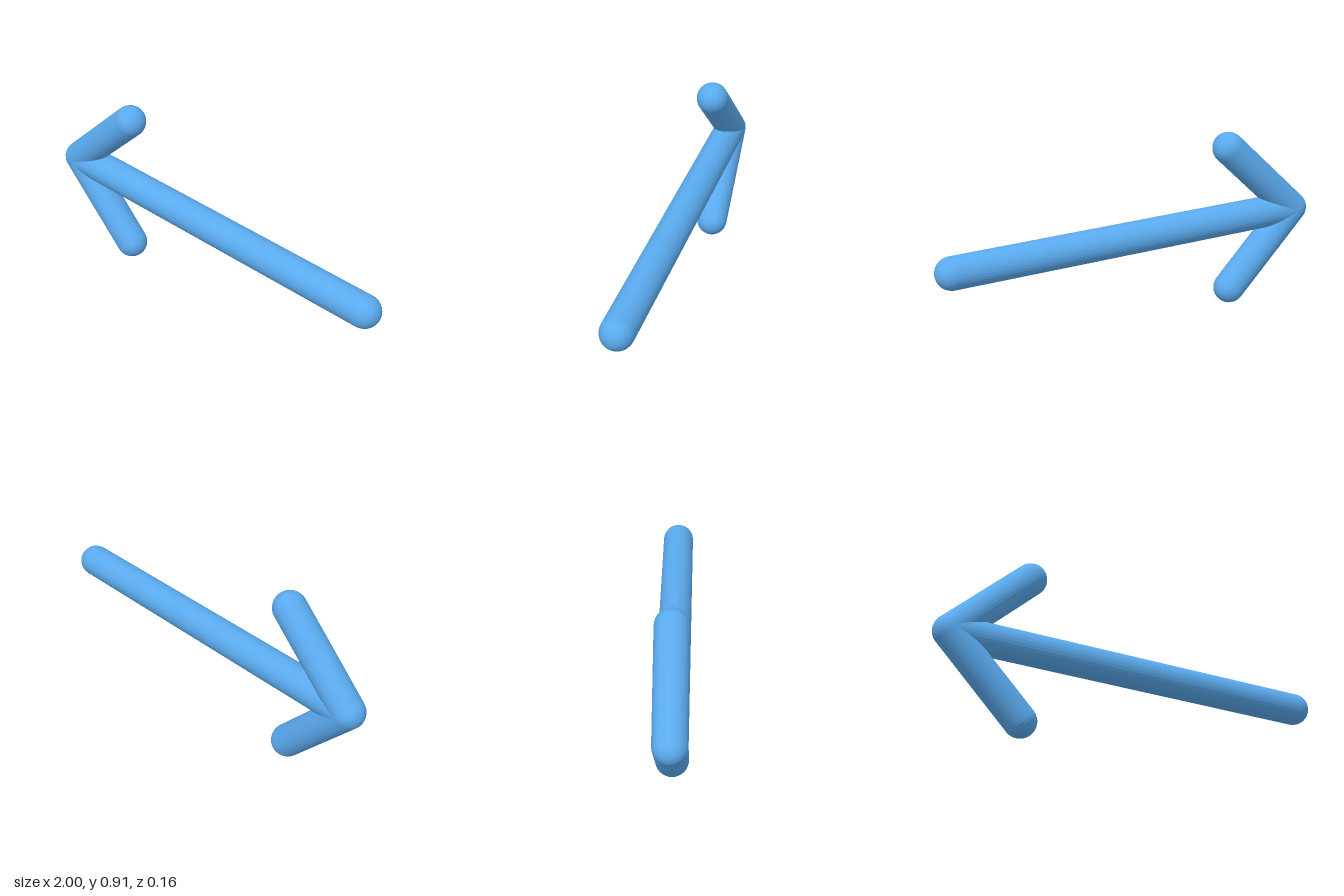
import * as THREE from 'three';

const RADIUS = 0.08;

export function createModel() {
  const group = new THREE.Group();
  group.name = 'arrow';
  const material = new THREE.MeshStandardMaterial({ color: 0x5aaaee, flatShading: true });

  // Round-ended bar between two centre points
  function addBar(name, from, to) {
    const dir = to.clone().sub(from);
    const mesh = new THREE.Mesh(new THREE.CapsuleGeometry(RADIUS, dir.length(), 8, 32), material);
    mesh.name = name;
    mesh.position.copy(from).add(to).multiplyScalar(0.5);
    mesh.quaternion.setFromUnitVectors(new THREE.Vector3(0, 1, 0), dir.normalize());
    group.add(mesh);
  }

  // All three bars meet at the arrow tip
  const tip = new THREE.Vector3(-0.92, 0.467, 0);
  addBar('shaft', tip, new THREE.Vector3(0.92, 0.405, 0));
  addBar('upperBarb', tip, new THREE.Vector3(-0.535, 0.828, 0));
  addBar('lowerBarb', tip, new THREE.Vector3(-0.56, 0.081, 0));

  return group;
}
